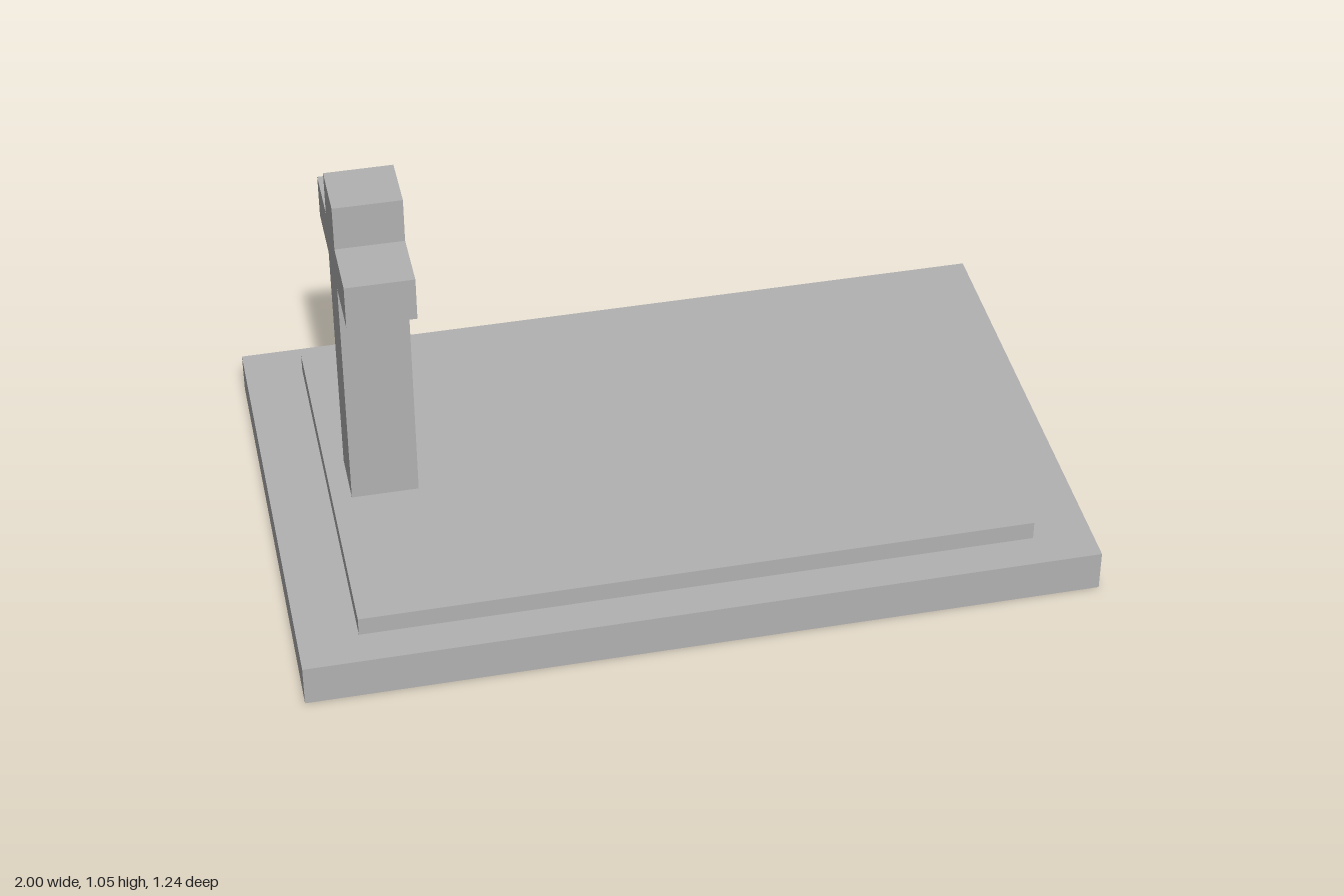
import * as THREE from 'three';

export function createModel() {
  const model = new THREE.Group();
  const stone = new THREE.MeshStandardMaterial({ color: 0xb2b2b2 });
  stone.name = 'grey stone';

  const add = (name, geometry, x, y) => {
    const mesh = new THREE.Mesh(geometry, stone);
    mesh.name = name;
    mesh.position.set(x, y, 0);
    model.add(mesh);
    return mesh;
  };

  // Stepped base: wide plinth with a smaller slab on top
  const plinthHeight = 0.11, slabHeight = 0.05;
  const slabTop = plinthHeight + slabHeight;
  add('plinth', new THREE.BoxGeometry(2, plinthHeight, 1.244), 0, plinthHeight / 2);
  add('slab', new THREE.BoxGeometry(1.7, slabHeight, 1.056), 0, plinthHeight + slabHeight / 2);

  // Cross outline: half profile mirrored, heights measured from the slab
  const half = [[0.075, 0], [0.075, 0.657], [0.233, 0.657], [0.233, 0.773], [0.075, 0.773], [0.075, 0.892]];
  const outline = [...half, ...half.map(([w, h]) => [-w, h]).reverse()];
  const shape = new THREE.Shape(outline.map(([w, h]) => new THREE.Vector2(w, h)));

  // Upright cross at the right end, with its arms running along z
  const cross = new THREE.ExtrudeGeometry(shape, { depth: 0.17, bevelEnabled: false });
  cross.rotateY(Math.PI / 2);
  add('cross', cross, -0.8, slabTop);

  return model;
}
